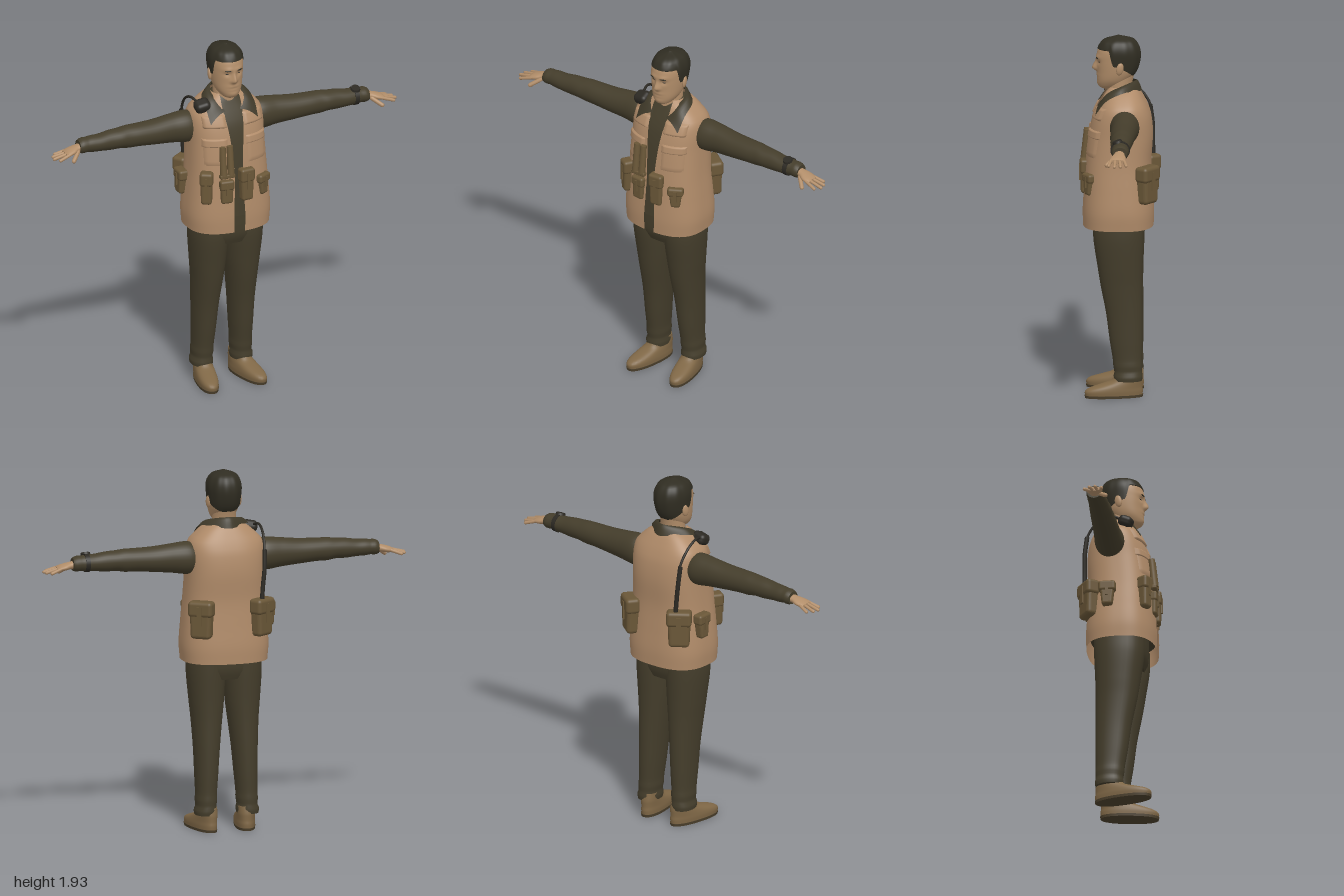
import * as THREE from 'three';
import { RoundedBoxGeometry } from 'three/addons/geometries/RoundedBoxGeometry.js';

const mat = (name, color, double) => Object.assign(new THREE.MeshStandardMaterial({ color }), { name, side: double ? THREE.DoubleSide : THREE.FrontSide });
const { sin, cos, abs, sign, min, max, PI } = Math;
const V = (x, y, z) => new THREE.Vector3(x, y, z);

// Smooth interpolation of table rows keyed by their first column
function rowAt(rows, t) {
  let i = 0;
  while (i < rows.length - 2 && t > rows[i + 1][0]) i++;
  const a = rows[i], b = rows[i + 1], p = rows[max(i - 1, 0)], q = rows[min(i + 2, rows.length - 1)];
  const h = b[0] - a[0], f = min(max((t - a[0]) / h, 0), 1), f2 = f * f, f3 = f2 * f;
  return a.map((_, k) => {
    if (!k) return t;
    const m0 = (b[k] - p[k]) / (b[0] - p[0]) * h, m1 = (q[k] - a[k]) / (q[0] - a[0]) * h;
    return (2 * f3 - 3 * f2 + 1) * a[k] + (f3 - 2 * f2 + f) * m0 + (3 * f2 - 2 * f3) * b[k] + (f3 - f2) * m1;
  });
}

// Grid surface from fn(u, v); u runs anticlockwise seen from above, v runs upward
function surf(fn, nu, nv, closed = true, caps = false) {
  const pos = [], idx = [], cols = closed ? nu : nu + 1;
  const rings = [];
  for (let j = 0; j <= nv; j++) rings.push(Array.from({ length: cols }, (_, i) => fn(i / nu, j / nv)));
  if (caps) {
    const mid = r => r.reduce((s, p) => s.add(p), V(0, 0, 0)).divideScalar(cols);
    const lo = mid(rings[0]), hi = mid(rings[nv]);
    rings.unshift(rings[0].map(() => lo), rings[0]);
    rings.push(rings[rings.length - 1], rings[0].map(() => hi));
  }
  rings.forEach(r => r.forEach(p => pos.push(p.x, p.y, p.z)));
  for (let j = 0; j < rings.length - 1; j++) for (let i = 0; i < nu; i++) {
    const a = j * cols + i, b = j * cols + (i + 1) % cols, c = b + cols, d = a + cols;
    idx.push(a, b, c, a, c, d);
  }
  const g = new THREE.BufferGeometry();
  g.setAttribute('position', new THREE.Float32BufferAttribute(pos, 3));
  g.setIndex(idx);
  g.computeVertexNormals();
  return g;
}

// Ring point: a = 0 faces front, e is the squareness
const ring = (a, y, cx, cz, rx, rz, e) => V(
  cx + rx * sign(sin(a)) * abs(sin(a)) ** (2 / e), y,
  cz + rz * sign(cos(a)) * abs(cos(a)) ** (2 / e));
// rows: [height, centre x, centre z, radius x, radius z]
const loft = (rows, nu = 32, nv = 24, e = 2) => surf((u, v) => {
  const y = rows[0][0] + (rows[rows.length - 1][0] - rows[0][0]) * v, r = rowAt(rows, y);
  return ring(u * 2 * PI, y, r[1], r[2], r[3], r[4], e);
}, nu, nv, true, true);

function mirrored(g) {
  const m = g.clone().scale(-1, 1, 1), ix = m.index.array;
  for (let i = 0; i < ix.length; i += 3) [ix[i], ix[i + 1]] = [ix[i + 1], ix[i]];
  m.computeVertexNormals();
  return m;
}

// Vest profile: [height, half width, front z, back z, opening half width]
const VEST = [[.915, .228, .195, -.178, .03], [1, .234, .197, -.18, .032], [1.12, .226, .19, -.172, .027],
  [1.25, .215, .182, -.166, .024], [1.4, .208, .165, -.174, .034], [1.5, .207, .143, -.165, .045],
  [1.56, .196, .117, -.145, .053], [1.6, .16, .096, -.125, .056], [1.64, .112, .076, -.102, .055], [1.66, .075, .06, -.085, .052]];
const E = 2.6;
const vestAt = (a, y, off = 0) => {
  const [, rx, zf, zb] = rowAt(VEST, y);
  return ring(a, y, 0, (zf + zb) / 2, rx + off, (zf - zb) / 2 + off, E);
};
const vestAngle = (x, y) => sign(x) * Math.asin(min(abs(x) / rowAt(VEST, y)[1], 1) ** (E / 2));

// Head profile: [height, half width, front z, back z]
const HEAD = [[1.64, .012, .08, .05], [1.655, .04, .108, .01], [1.675, .058, .118, -.03], [1.7, .071, .12, -.055], [1.74, .08, .121, -.085],
  [1.8, .085, .124, -.1], [1.85, .085, .119, -.099], [1.885, .074, .1, -.085], [1.905, .054, .075, -.062], [1.92, .008, .02, -.005]];
const bell = (d, w) => Math.exp(-((d / w) ** 2));
function headAt(a, y) {
  const [, rx, zf, zb] = rowAt(HEAD, y);
  const p = ring(a, y, 0, (zf + zb) / 2, max(rx, .001), max((zf - zb) / 2, .001), 2.2);
  if (cos(a) > 0) {
    const x = abs(p.x), nose = y < 1.755 ? bell(y - 1.755, .014) : bell(y - 1.755, .036);
    p.z += .026 * bell(x, .008 + .008 * bell(y - 1.75, .02)) * nose + .006 * bell(y - 1.818, .012) * bell(x - .03, .03)
      - .009 * bell(x - .033, .017) * bell(y - 1.792, .013) - .005 * bell(y - 1.711, .005) * bell(x, .027)
      + .005 * bell(y - 1.715, .016) * bell(x, .03) + .004 * bell(y - 1.675, .014) * bell(x, .025);
  }
  return p;
}

export function createModel() {
  const tan = mat('vestTan', 0xb08b69, true), cloth = mat('darkCloth', 0x443d2b), collarMat = mat('collarCloth', 0x3e3828, true);
  const skin = mat('skin', 0xb18d69), olive = mat('pouchOlive', 0x6a5738), shoeMat = mat('shoeLeather', 0x7f6746);
  const hairMat = mat('hair', 0x302d22), black = mat('blackGear', 0x2c2923), soleMat = mat('sole', 0x4c402c);
  const root = new THREE.Group();
  const add = (name, geo, m, parent = root) => {
    const mesh = new THREE.Mesh(geo, m);
    mesh.name = name;
    parent.add(mesh);
    return mesh;
  };
  const pair = (name, geo, m) => { add(name + 'Left', geo, m); add(name + 'Right', mirrored(geo), m); };
  const ball = (name, p, sx, sy, sz, m) => {
    const b = add(name, new THREE.SphereGeometry(1, 20, 14), m);
    b.position.copy(p); b.scale.set(sx, sy, sz);
    return b;
  };
  const rod = (a, b, r) => {
    const d = b.clone().sub(a), g = new THREE.CapsuleGeometry(r, d.length() - r, 5, 10);
    g.applyQuaternion(new THREE.Quaternion().setFromUnitVectors(V(0, 1, 0), d.clone().normalize()));
    return g.translate((a.x + b.x) / 2, (a.y + b.y) / 2, (a.z + b.z) / 2);
  };

  // Trousers
  add('hips', loft([[.82, 0, .005, .16, .115], [.87, 0, .006, .19, .133], [1.0, 0, .006, .198, .138]], 40, 8, 2.5), cloth);
  pair('trouserLeg', loft([[.09, .115, -.046, .057, .073], [.115, .115, -.046, .06, .077], [.135, .113, -.046, .053, .073], [.17, .112, -.044, .057, .077],
    [.2, .111, -.042, .055, .077], [.3, .108, -.035, .06, .086], [.45, .104, -.025, .068, .096], [.6, .1, -.01, .08, .11],
    [.7, .099, -.003, .09, .119], [.85, .1, .005, .1, .133], [.95, .1, .005, .098, .135]], 32, 60, 2.2), cloth);

  // Shoes, turned slightly outward
  const place = g => g.rotateY(.18).translate(.11, 0, -.03);
  const shoeRows = [[.012, 0, .06, .052, .153], [.035, 0, .06, .054, .155], [.052, 0, .05, .053, .143],
    [.068, 0, .025, .051, .118], [.09, 0, -.008, .048, .085], [.13, 0, -.02, .046, .066]];
  pair('shoe', place(loft(shoeRows, 36, 20, 2.3)), shoeMat);
  pair('sole', place(loft([[0, 0, .06, .053, .154], [.014, 0, .06, .055, .157]], 36, 1, 2.3)), soleMat);

  // Shirt and open vest
  add('shirt', loft(VEST.slice(1).map(([y, rx, zf, zb]) => [y, 0, (zf + zb) / 2, rx - .02, (zf - zb) / 2 - .016]), 48, 30, E), cloth);
  add('vest', surf((u, v) => {
    const y = .915 + .745 * v, a0 = vestAngle(rowAt(VEST, y)[4], y);
    return vestAt(a0 + u * 2 * (PI - a0), y);
  }, 72, 40, false), tan);
  const patch = (name, x0, x1, y0, y1, off) => {
    const g = surf((u, v) => {
      const y = y0 + (y1 - y0) * v, edge = min(u, 1 - u, v, 1 - v) < .01 ? 0 : off;
      return vestAt(vestAngle(x0 + (x1 - x0) * u, y), y, edge);
    }, 12, 10, false);
    pair(name, g, tan);
  };
  patch('chestPocket', .06, .175, 1.3, 1.43, .005);
  patch('chestPocketFlap', .055, .18, 1.4, 1.445, .009);
  patch('lapelFlap', .05, .17, 1.5, 1.565, .009);

  // Folded collar
  const curve = half => new THREE.CatmullRomCurve3([...half.map(p => V(-p[0], p[1], p[2])), ...half.slice(0, -1).reverse().map(p => V(...p))]);
  const upper = curve([[.042, 1.58, .106], [.074, 1.635, .06], [.08, 1.67, -.01], [0, 1.692, -.088]]);
  const lower = curve([[.137, 1.525, .128], [.14, 1.6, .07], [.125, 1.642, -.02], [0, 1.635, -.116]]);
  add('collar', surf((u, v) => {
    const p = lower.getPoint(u).lerp(upper.getPoint(u), v);
    p.y += .012 * sin(v * PI);
    return p;
  }, 48, 6, false), collarMat);

  // Neck, head and hair
  add('neck', loft([[1.52, 0, 0, .072, .072], [1.6, 0, .005, .066, .066], [1.68, 0, 0, .063, .066], [1.75, 0, -.012, .062, .07]]), skin);
  add('head', surf((u, v) => headAt(u * 2 * PI, 1.64 + .28 * (1 - cos(PI * v)) / 2), 96, 64, true, true), skin);
  add('hair', surf((u, v) => {
    const a = u * 2 * PI, c = cos(a), f = THREE.MathUtils.smoothstep(c, .12, .42);
    const low = (1.775 + .06 * min(c, 0)) * (1 - f) + 1.862 * f;
    const y = low + (1.92 - low) * sin(v * PI / 2), p = headAt(a, y);
    const k = 1.045 + .05 * min(v * 3, 1) * (.75 + .25 * sin(a * 11));
    return V(p.x * k, y + .011 * v, (p.z - .01) * k + .01);
  }, 88, 20, true, true), hairMat);
  for (const s of [-1, 1]) {
    const side = s > 0 ? 'Left' : 'Right';
    ball('ear' + side, V(s * .086, 1.765, -.002), .011, .034, .02, skin).rotation.set(-.2, s * .3, 0);
    ball('eye' + side, headAt(s * .36, 1.791), .011, .003, .003, black).rotation.y = s * .3;
    ball('brow' + side, headAt(s * .37, 1.814), .018, .004, .003, hairMat).rotation.y = s * .3;
  }

  // Sleeves: rows run along the arm, then are laid sideways
  const armRows = [[.16, 1.475, -.03, .072, .066], [.21, 1.475, -.03, .087, .078], [.3, 1.477, -.03, .078, .071], [.4, 1.476, -.026, .068, .067],
    [.5, 1.478, -.024, .062, .063], [.56, 1.478, -.024, .061, .059], [.6, 1.479, -.022, .055, .058], [.66, 1.477, -.022, .053, .053], [.72, 1.475, -.02, .046, .05],
    [.77, 1.475, -.022, .044, .047], [.8, 1.475, -.022, .04, .044], [.82, 1.474, -.022, .042, .046], [.84, 1.472, -.022, .034, .038]];
  const along = rows => loft(rows.map(([t, y, z, ry, rz]) => [t, -y, z, ry, rz]), 28, 50).rotateZ(-PI / 2);
  pair('sleeve', along(armRows), cloth);

  // Hands
  pair('palm', along([[.8, 1.474, -.02, .024, .028], [.85, 1.466, -.018, .02, .029], [.88, 1.459, -.014, .019, .04],
    [.91, 1.453, -.01, .015, .041], [.925, 1.45, -.01, .009, .035]]), skin);
  [[-.042, .965, -.058], [-.02, .988, -.028], [.002, .994, .004], [.022, .972, .036]].forEach(([z0, x1, z1], i) =>
    pair('finger' + (i + 1), rod(V(.9, 1.455, z0), V(x1, 1.433, z1), .0088), skin));
  pair('thumb', rod(V(.85, 1.458, .004), V(.9, 1.42, .05), .0115), skin);

  // Wristwatch
  add('watchStrap', along([[.752, 1.475, -.021, .049, .052], [.776, 1.475, -.021, .048, .051]]), black);
  const dial = add('watchDial', new THREE.CylinderGeometry(.024, .027, .012, 20), black);
  dial.position.set(.764, 1.522, -.005); dial.rotation.x = .35;

  // Pouches: tapered body, flap and strap, facing outward by angle r
  function pouch(name, x, y, z, r, w, h, d, taper = .12) {
    const g = new THREE.Group();
    g.name = name; g.position.set(x, y, z); g.rotation.y = r;
    const body = new RoundedBoxGeometry(w, h, d, 4, min(w, d) * .3), p = body.attributes.position;
    for (let i = 0; i < p.count; i++) p.setX(i, p.getX(i) * (1 - taper * (.5 - p.getY(i) / h)));
    body.computeVertexNormals();
    add('pouchBody', body, olive, g);
    const flap = add('pouchFlap', new RoundedBoxGeometry(w * 1.08, h * .42, d * 1.12, 4, d * .28), olive, g);
    flap.position.set(0, h * .3, d * .04);
    add('pouchStrap', new THREE.BoxGeometry(w * .2, h * .5, .008), olive, g).position.set(0, h * .12, d * .6);
    root.add(g);
  }
  pouch('frontOuterPouchRight', -.172, 1.18, .15, -.55, .066, .18, .06);
  pouch('frontInnerPouchRight', -.072, 1.155, .183, -.1, .072, .13, .045);
  pouch('frontInnerPouchLeft', .043, 1.18, .182, .08, .076, .18, .05);
  pouch('frontOuterPouchLeft', .145, 1.155, .155, .5, .08, .115, .05, .4);
  pouch('sidePouchRight', -.232, 1.16, -.04, -PI / 2, .085, .135, .05, .35);
  for (const s of [-1, 1]) pouch('backPouch' + (s > 0 ? 'Left' : 'Right'), s * .165, 1.158, -.148, s * (PI - .62), .125, .2, .07);

  // Twin tubes carried on the vest front
  for (const x of [-.092, -.05]) {
    const tube = add('gearTube', new THREE.CylinderGeometry(.017, .019, .16, 18), olive);
    tube.position.set(x, 1.33, .184); tube.rotation.x = -.1;
  }
  add('gearClip', new RoundedBoxGeometry(.085, .022, .03, 3, .006), olive).position.set(-.071, 1.245, .19);

  // Shoulder microphone with lead and aerial running down the back
  const mic = add('shoulderMicrophone', new RoundedBoxGeometry(.085, .06, .075, 5, .024), black);
  mic.position.set(-.152, 1.61, .048); mic.rotation.set(.4, 0, .2);
  const cable = pts => new THREE.TubeGeometry(new THREE.CatmullRomCurve3(pts.map(p => V(...p))), 40, pts.r, 10);
  const run = (pts, r) => Object.assign(pts, { r });
  add('microphoneLead', cable(run([[-.165, 1.62, .03], [-.182, 1.635, -.03], [-.185, 1.6, -.1], [-.178, 1.52, -.155], [-.175, 1.44, -.165]], .007)), black);
  add('radioAerial', cable(run([[-.18, 1.52, -.155], [-.175, 1.42, -.168], [-.165, 1.32, -.17], [-.158, 1.22, -.172]], .012)), black);
  return root;
}
